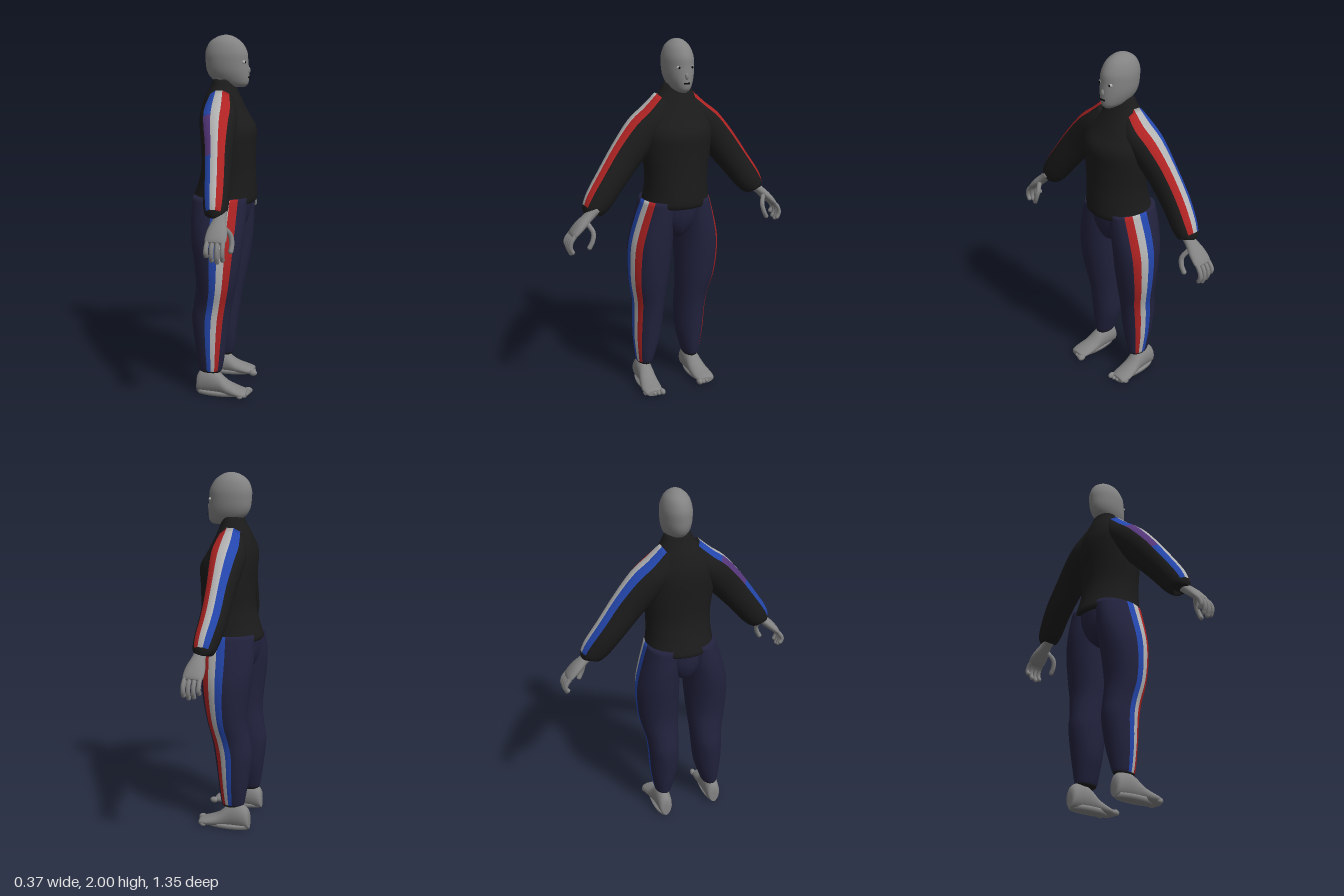
import * as THREE from 'three';

const mat = (name, color) => {
  const m = new THREE.MeshStandardMaterial({ color });
  m.name = name;
  return m;
};
const skin = mat('skin grey', 0x838383), black = mat('jacket black', 0x1b1b1b), navy = mat('trouser navy', 0x22223e);
const blue = mat('stripe blue', 0x2447ae), white = mat('stripe white', 0xb4b4b4), red = mat('stripe red', 0xb02323);
const purple = mat('stripe purple', 0x56377c), dark = mat('feature black', 0x0a0a0a);
const V = (x, y, z) => new THREE.Vector3(x, y, z);

// Catmull-Rom subdivision of a table of cross-sections
function smooth(rows, n) {
  const out = [], last = rows.length - 1;
  for (let i = 0; i < last; i++) {
    const a = rows[Math.max(i - 1, 0)], b = rows[i], c = rows[i + 1], d = rows[Math.min(i + 2, last)];
    for (let k = 0; k < n; k++) {
      const t = k / n;
      out.push(b.map((p, j) => p + 0.5 * t * (c[j] - a[j] + t * (2 * a[j] - 5 * p + 4 * c[j] - d[j]
        + t * (3 * (p - c[j]) + d[j] - a[j])))));
    }
  }
  out.push(rows[last]);
  return out;
}

const evenAngles = Array.from({ length: 24 }, (_, i) => i * 15);
// First three sectors are the stripes, the rest are evenly spaced
function stripeAngles(edges) {
  const a = edges.slice(), rest = 360 + edges[0] - edges[3];
  for (let i = 1; i < 18; i++) a.push(edges[3] + rest * i / 18);
  return a;
}

// Closed skin through rings of {c, u, v}; pick(i, j) gives each patch its material
function loft(parent, name, rings, angles, pick) {
  const n = angles.length, pos = [], sets = new Map();
  for (const { c, u, v } of rings) for (const deg of angles) {
    const t = deg * Math.PI / 180;
    pos.push(...c.clone().addScaledVector(u, Math.cos(t)).addScaledVector(v, Math.sin(t)).toArray());
  }
  const end = rings.length - 1;
  pos.push(...rings[0].c.toArray(), ...rings[end].c.toArray());
  const flip = rings[0].u.clone().cross(rings[0].v).dot(rings[end].c.clone().sub(rings[0].c)) < 0;
  const tri = (m, a, b, c) => {
    if (!sets.has(m)) sets.set(m, []);
    sets.get(m).push(...(flip ? [a, c, b] : [a, b, c]));
  };
  for (let j = 0; j < n; j++) {
    const k = (j + 1) % n;
    for (let i = 0; i < end; i++) {
      const a = i * n + j, b = i * n + k, m = pick(i, j);
      tri(m, a, b, b + n);
      tri(m, a, b + n, a + n);
    }
    tri(pick(0, 9), (end + 1) * n, k, j);
    tri(pick(end - 1, 9), (end + 1) * n + 1, end * n + j, end * n + k);
  }
  const g = new THREE.BufferGeometry(), index = [], mats = [];
  for (const [m, list] of sets) {
    g.addGroup(index.length, list.length, mats.length);
    mats.push(m);
    for (const q of list) index.push(q);
  }
  g.setAttribute('position', new THREE.Float32BufferAttribute(pos, 3));
  g.setIndex(index);
  g.computeVertexNormals();
  const mesh = new THREE.Mesh(g, mats.length > 1 ? mats : mats[0]);
  mesh.name = name;
  parent.add(mesh);
  return mesh;
}

// Upright sections: [y, xMin, xMax, zCentre, zRadius]
const upright = (rows, s = 1) => smooth(rows, 4).map(([y, x0, x1, z, r]) =>
  ({ c: V((x0 + x1) / 2, y, z), u: V(0, 0, r * s), v: V((x1 - x0) / 2, 0, 0) }));

// Rounded digit along a few points
function digit(parent, name, pts, r) {
  const curve = new THREE.CatmullRomCurve3(pts);
  const mesh = new THREE.Mesh(new THREE.TubeGeometry(curve, 8, r, 8), skin);
  mesh.name = name;
  const tip = new THREE.Mesh(new THREE.SphereGeometry(r, 8, 6), skin);
  tip.position.copy(pts[pts.length - 1]);
  tip.name = name + 'Tip';
  parent.add(mesh, tip);
}

function ball(parent, name, m, p, r, sx = 1, sy = 1, sz = 1) {
  const b = new THREE.Mesh(new THREE.SphereGeometry(r, 12, 8), m);
  b.position.copy(p);
  b.scale.set(sx, sy, sz);
  b.name = name;
  parent.add(b);
}

function buildHead(root) {
  const head = new THREE.Group();
  head.name = 'head';
  loft(head, 'skull', upright([[1.722, 0.03, 0.1, -0.014, 0.022], [1.74, -0.04, 0.117, -0.014, 0.047],
    [1.77, -0.09, 0.123, -0.014, 0.065], [1.81, -0.113, 0.122, -0.014, 0.078], [1.86, -0.12, 0.117, -0.014, 0.083],
    [1.91, -0.12, 0.112, -0.014, 0.081], [1.96, -0.098, 0.083, -0.014, 0.064], [1.99, -0.055, 0.04, -0.014, 0.035],
    [2, -0.02, 0.01, -0.014, 0.01]]), evenAngles, () => skin);
  loft(head, 'neck', upright([[1.7, -0.07, 0.035, -0.012, 0.055], [1.8, -0.075, 0.04, -0.012, 0.058]]), evenAngles, () => skin);
  ball(head, 'nose', skin, V(0.118, 1.812, -0.014), 0.013, 0.9, 1.5, 0.8);
  for (const s of [-1, 1]) {
    ball(head, 'eye', white, V(0.1, 1.858, -0.014 + s * 0.038), 0.012, 0.8, 0.8, 1.1);
    ball(head, 'pupil', dark, V(0.107, 1.858, -0.014 + s * 0.038), 0.007, 0.7, 1, 1);
  }
  const mouth = new THREE.Mesh(new THREE.BoxGeometry(0.008, 0.008, 0.034), dark);
  mouth.position.set(0.121, 1.775, -0.014);
  mouth.name = 'mouth';
  head.add(mouth);
  root.add(head);
}

// Arm sections: [z, y, x at +z side, x at -z side, radius, x radius]
const armRows = [[0.05, 1.64, -0.015, -0.03, 0.095, 0.075], [0.13, 1.575, -0.01, -0.03, 0.09, 0.1],
  [0.2, 1.51, 0, -0.035, 0.1, 0.095], [0.3, 1.4, 0.022, -0.042, 0.095, 0.077], [0.4, 1.275, 0.042, -0.045, 0.085, 0.072],
  [0.475, 1.175, 0.055, -0.035, 0.078, 0.066], [0.515, 1.125, 0.06, -0.03, 0.06, 0.055], [0.52, 1.115, 0.062, -0.03, 0.04, 0.04]];

function buildArm(root, s) {
  const arm = new THREE.Group();
  arm.name = s > 0 ? 'rightArm' : 'leftArm';
  const rows = smooth(armRows, 3);
  const rings = rows.map(([z, y, xa, xb, r, rx], i) => {
    const p = rows[Math.max(i - 1, 0)], q = rows[Math.min(i + 1, rows.length - 1)];
    const t = V(0, q[1] - p[1], q[0] - p[0]).normalize();
    return { c: V(s > 0 ? xa : xb, y, s * z), u: V(0, t.z * r, -t.y * r * s), v: V(rx, 0, 0) };
  });
  loft(arm, 'sleeve', rings, stripeAngles([-46, -16, 13, 43]), (i, j) => {
    if (j > 2 || i > 17) return black;
    return j === 0 && s > 0 && i > 4 && i < 10 ? purple : [blue, white, red][j];
  });

  // Hand: flat palm, four curled fingers and a thumb
  const hx = s > 0 ? 0.09 : -0.018;
  const P = (x, y, z) => V(hx + x, y, s * z);
  const palm = smooth([[0.5, 1.14, 0.03, 0.028], [0.545, 1.1, 0.036, 0.026], [0.59, 1.06, 0.052, 0.026],
    [0.63, 1.02, 0.056, 0.02], [0.643, 1.005, 0.045, 0.012]], 3);
  loft(arm, 'palm', palm.map(([z, y, w, h]) =>
    ({ c: P(0, y, z), u: V(0, h * 0.7, h * 0.7 * s), v: V(w, 0, 0) })), evenAngles, () => skin);
  for (let k = 0; k < 4; k++) {
    const x = -0.042 + k * 0.028, drop = [0.03, 0.008, 0, 0.012][k];
    digit(arm, 'finger', [P(x * 0.9, 1.03, 0.62), P(x, 0.985, 0.658), P(x, 0.945 + drop / 2, 0.664), P(x, 0.915 + drop, 0.653)], 0.0125);
  }
  digit(arm, 'thumb', [P(0.03, 1.07, 0.56), P(0.058, 1.025, 0.54), P(0.066, 0.98, 0.55), P(0.064, 0.95, 0.566)], 0.0135);
  root.add(arm);
}

const legRows = [[1.13, -0.165, 0.14, 0.098, 0.094], [1, -0.172, 0.135, 0.125, 0.113], [0.88, -0.162, 0.125, 0.147, 0.124],
  [0.76, -0.145, 0.11, 0.156, 0.123], [0.64, -0.135, 0.09, 0.158, 0.113], [0.53, -0.15, 0.068, 0.152, 0.096],
  [0.44, -0.162, 0.054, 0.153, 0.09], [0.3, -0.145, 0.036, 0.16, 0.082], [0.19, -0.128, 0.022, 0.171, 0.06],
  [0.14, -0.118, 0.012, 0.176, 0.046], [0.125, -0.1, 0, 0.177, 0.035]];

function buildLeg(root, s) {
  const leg = new THREE.Group();
  leg.name = s > 0 ? 'rightLeg' : 'leftLeg';
  // The left leg stands a little closer to the middle
  const rows = legRows.map(([y, a, b, z, r]) => [y, a, b, s > 0 ? z : -(z - 0.058 * (1.13 - y)), r]);
  loft(leg, 'trouserLeg', upright(rows, s), stripeAngles([-8, 10, 28, 48]), (i, j) =>
    i > 35 ? black : j < 3 ? [blue, white, red][j] : navy);

  // Foot: sections [x, top height, z centre, half width] from heel to toes
  const z0 = s > 0 ? 0.186 : -0.128, dx = s > 0 ? 0 : -0.025;
  const foot = smooth([[-0.13, 0.07, 0, 0.02], [-0.118, 0.12, 0, 0.038], [-0.06, 0.148, 0, 0.046], [0, 0.125, 0.002, 0.047],
    [0.05, 0.082, 0.007, 0.053], [0.11, 0.055, 0.013, 0.058], [0.15, 0.042, 0.014, 0.052], [0.162, 0.034, 0.014, 0.04]], 3);
  loft(leg, 'foot', foot.map(([x, h, z, w]) => ({ c: V(x + dx, h / 2 + 0.003, z0 + s * z), u: V(0, h / 2, 0), v: V(0, 0, w) })),
    evenAngles, () => skin);
  const sole = smooth([[0, -0.125, 0.13, 0.006, 0.04], [0.025, -0.13, 0.155, 0.006, 0.048]], 1).map(([y, a, b, z, r]) =>
    ({ c: V((a + b) / 2 + dx, y, z0 + s * z), u: V((b - a) / 2, 0, 0), v: V(0, 0, r) }));
  loft(leg, 'sole', sole, evenAngles, () => skin);
  for (let k = 0; k < 5; k++) {
    const r = k ? 0.013 : 0.018;
    ball(leg, 'toe', skin, V(0.163 - k * k * 0.002 + dx, r + 0.004, z0 + s * (-0.032 + k * 0.023)), r, 1.4, 1, 0.95);
  }
  root.add(leg);
}

export function createModel() {
  const root = new THREE.Group();
  root.name = 'standingFigure';
  buildHead(root);

  // Jacket body with collar and flared hem
  loft(root, 'jacket', upright([[1.085, -0.15, 0.13, 0, 0.16], [1.1, -0.185, 0.168, 0, 0.192], [1.18, -0.16, 0.168, 0, 0.183],
    [1.28, -0.137, 0.162, 0, 0.182], [1.4, -0.138, 0.162, 0, 0.198], [1.5, -0.145, 0.163, 0, 0.205], [1.58, -0.142, 0.118, 0, 0.19],
    [1.66, -0.12, 0.078, -0.004, 0.135], [1.72, -0.092, 0.052, -0.01, 0.094], [1.755, -0.077, 0.038, -0.011, 0.076],
    [1.765, -0.07, 0.033, -0.012, 0.066]]), evenAngles, () => black);

  // Seat of the trousers joining both legs
  loft(root, 'trouserSeat', upright([[0.905, -0.09, 0.06, 0.008, 0.03], [0.94, -0.135, 0.1, 0.006, 0.075],
    [1.02, -0.162, 0.132, 0.004, 0.15], [1.13, -0.165, 0.145, 0, 0.18]]), evenAngles, () => navy);

  for (const s of [1, -1]) {
    buildArm(root, s);
    buildLeg(root, s);
  }
  return root;
}
